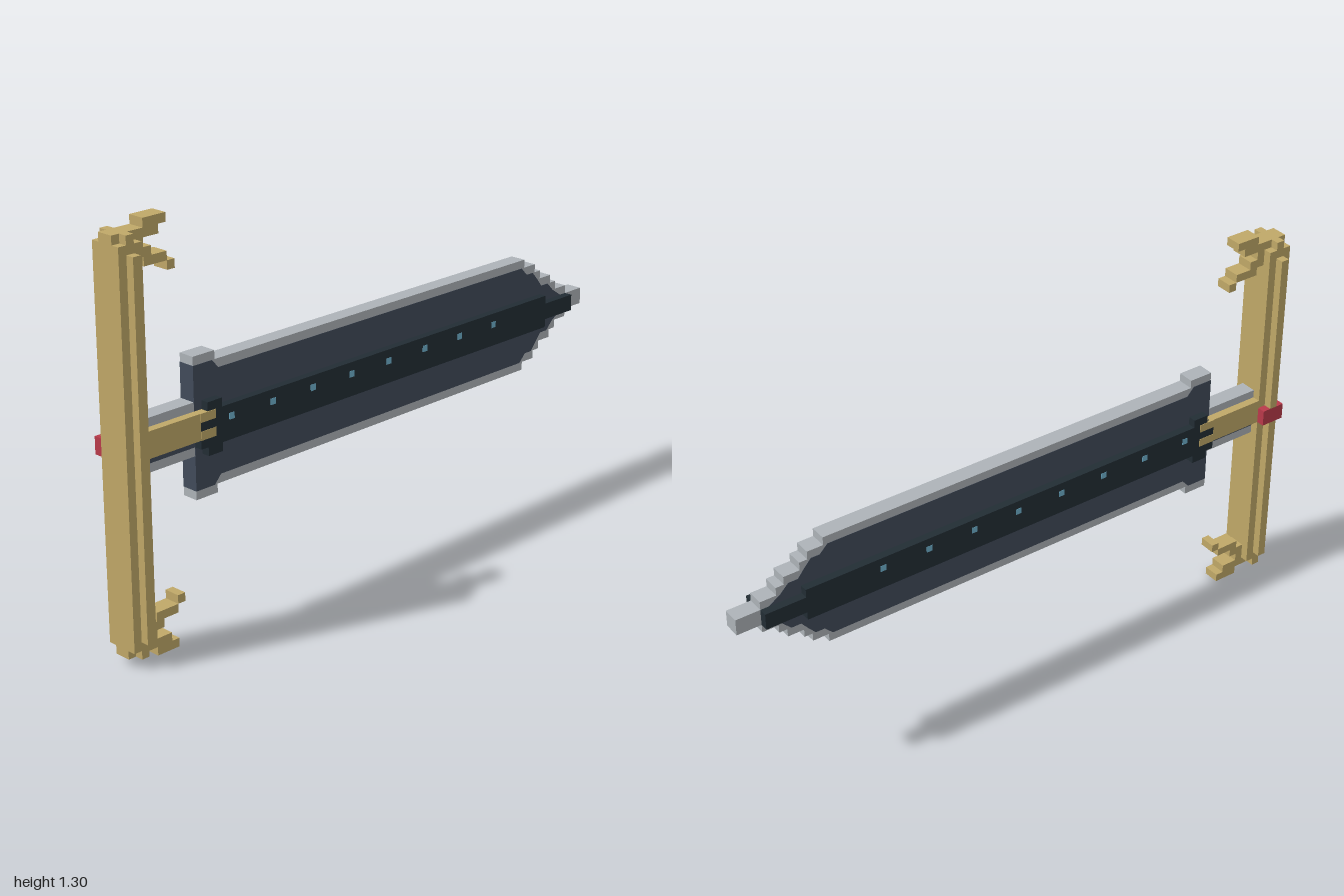
import * as THREE from 'three';

// Everything sits on a unit grid: 74 cells long, 48 high, 6 wide.
const U = 1 / 37;
const MID = 24;

const material = (name, color) => {
  const m = new THREE.MeshStandardMaterial({ color });
  m.name = name;
  return m;
};

export function createModel() {
  const gold = material('gold', 0xc0a868);
  const silver = material('silver', 0xadb3b8);
  const slate = material('slate', 0x414b5a);
  const dark = material('dark core', 0x222d34);
  const red = material('red gem', 0xb93a4a);
  const blue = material('blue inlay', 0x6fb0cc);

  const model = new THREE.Group();
  model.name = 'sword';

  const group = (name) => {
    const g = new THREE.Group();
    g.name = name;
    model.add(g);
    return g;
  };

  // Box from grid ranges; k counts cells back from the front face.
  const block = (parent, name, mat, x0, x1, y0, y1, k0, k1) => {
    const geo = new THREE.BoxGeometry((x1 - x0) * U, (y1 - y0) * U, (k1 - k0) * U);
    const mesh = new THREE.Mesh(geo, mat);
    mesh.position.set((x0 + x1) / 2 * U, (y0 + y1) / 2 * U, 1 - (k0 + k1) / 2 * U);
    mesh.name = name;
    parent.add(mesh);
  };

  // Plate symmetric about the blade axis, from [k, halfHeight] points.
  const plate = (parent, name, mat, pts, half) => {
    const upper = pts.map(([k, h]) => new THREE.Vector2(1 - k * U, (MID + h) * U));
    const lower = pts.map(([k, h]) => new THREE.Vector2(1 - k * U, (MID - h) * U)).reverse();
    const geo = new THREE.ExtrudeGeometry(new THREE.Shape([...upper, ...lower]), {
      depth: 2 * half * U, bevelEnabled: false,
    });
    geo.translate(0, 0, -half * U).rotateY(-Math.PI / 2);
    const mesh = new THREE.Mesh(geo, mat);
    mesh.name = name;
    parent.add(mesh);
  };

  // Crossguard: stepped plate with a rib on each side
  const guard = group('crossguard');
  block(guard, 'guardPlate', gold, -2, 2, 2, 46, 0, 3);
  block(guard, 'guardSpine', gold, -1, 1, 1, 47, 0, 3);
  for (const y of [1, 46]) {
    for (const x of [-2, 1]) block(guard, 'guardCorner', gold, x, x + 1, y, y + 1, 1, 2);
  }
  block(guard, 'leftRib', gold, 2, 3, 3, 45, 1, 2);
  block(guard, 'rightRibLower', gold, -3, -2, 3, 23, 1, 2);
  block(guard, 'rightRibUpper', gold, -3, -2, 25, 45, 1, 2);
  block(guard, 'gem', red, -3, -2, 23, 25, 0, 3);

  // Curled hooks at both ends of the guard: [row, from, to]
  const hookRows = [[47, 4, 7], [46, 3, 6], [45, 3, 4], [44, 3, 5], [43, 4, 7], [42, 7, 8]];
  for (const [row, k0, k1] of hookRows) {
    block(guard, 'upperHook', gold, -1, 1, row, row + 1, k0, k1);
    block(guard, 'lowerHook', gold, -1, 1, 47 - row, 48 - row, k0, k1);
  }

  // Grip: silver rails, slate filling, gold side cheeks ending in prongs
  const grip = group('grip');
  block(grip, 'gripFilling', slate, -1, 1, 22, 26, 3, 10);
  block(grip, 'upperRail', silver, -1, 1, 26, 27, 3, 10);
  block(grip, 'lowerRail', silver, -1, 1, 21, 22, 3, 10);
  for (const s of [-1, 1]) {
    const side = (name, y0, y1, k0, k1, reach) =>
      block(grip, name, gold, s < 0 ? -reach : 0.9, s < 0 ? -0.9 : reach, y0, y1, k0, k1);
    side('gripCheek', 23, 26, 3, 10, 2);
    side('upperProng', 25, 26, 10, 12.1, 2.06);
    side('lowerProng', 23, 24, 10, 12.1, 2.06);
  }

  // Blade: silver stepped edge
  const blade = group('blade');
  const steps = [[10, 13, 8], [13, 63, 7], [63, 65, 6], [65, 66, 5],
    [66, 68, 4], [68, 69, 3], [69, 71, 2], [71, 74, 1]];
  plate(blade, 'bladeEdge', silver, steps.flatMap(([a, b, h]) => [[a, h], [b, h]]), 1);

  // Slate faces set into the edge
  plate(blade, 'bladeFace', slate, [[9.98, 7], [12.6, 7], [13.5, 6], [62.5, 6], [63.5, 5],
    [64.6, 5], [65.5, 4], [66.3, 3], [67.5, 3], [68.5, 2], [70, 1]], 1.03);

  // Raised dark core with a collar by the grip
  plate(blade, 'core', dark, [[10, 2], [11, 2], [11, 3], [13, 3], [13, 2],
    [66, 2], [66, 1], [71, 1]], 2);

  // Small blue inlays along both sides of the core
  for (let i = 0; i < 8; i++) {
    const k = 14.35 + 6 * i;
    for (const x of [-2.03, 1.97]) {
      block(blade, 'inlay', blue, x, x + 0.06, 24.25, 25, k - 0.38, k + 0.38);
    }
  }
  return model;
}
